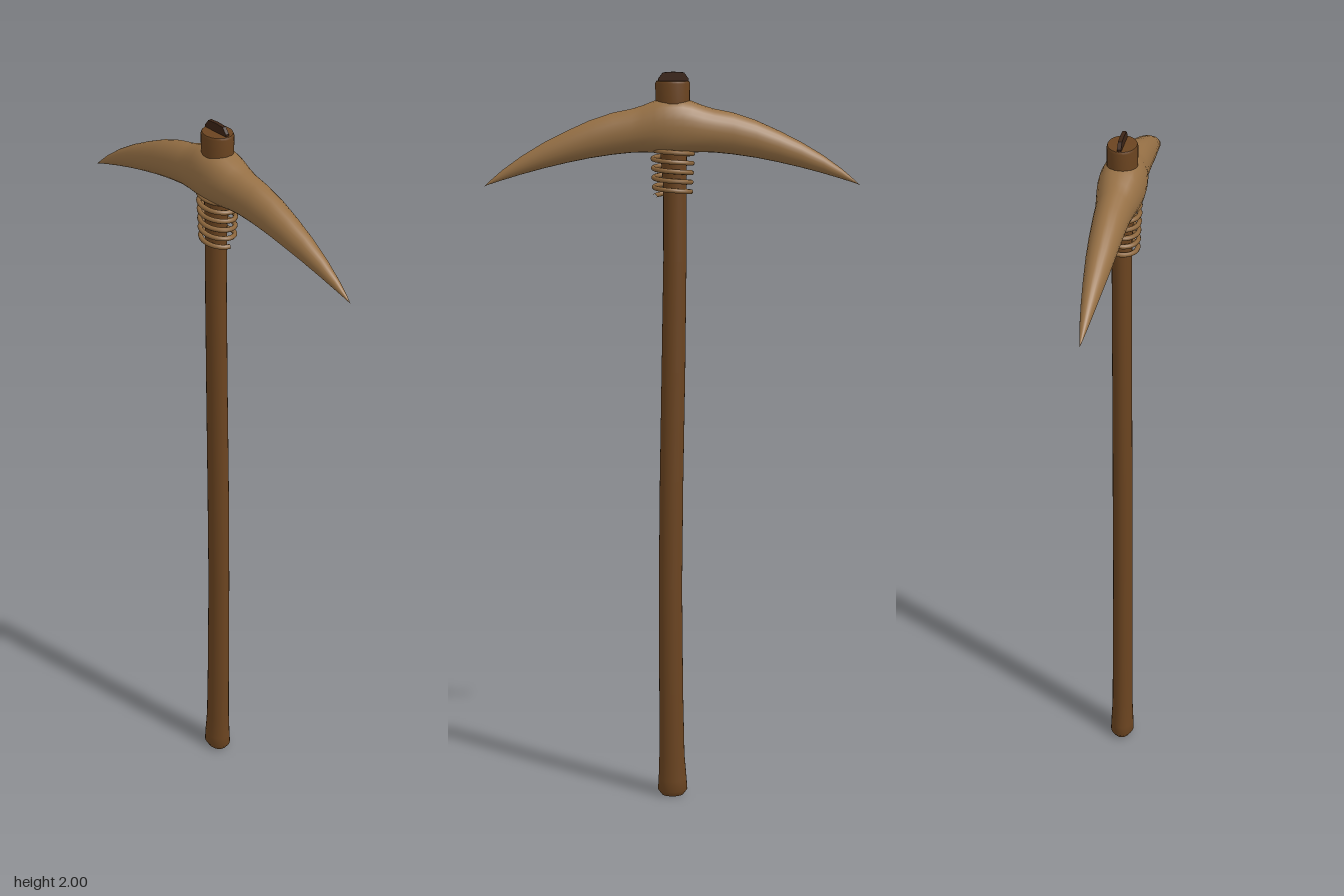
import * as THREE from 'three';

// Skin a list of closed rings (arrays of Vector3, counter-clockwise about the travel direction).
function loft(rings) {
  const n = rings[0].length, index = [];
  for (let i = 0; i < rings.length - 1; i++) {
    for (let j = 0; j < n; j++) {
      const a = i * n + j, b = i * n + (j + 1) % n;
      index.push(a, b, a + n, b, b + n, a + n);
    }
  }
  const g = new THREE.BufferGeometry().setFromPoints(rings.flat());
  g.setIndex(index);
  g.computeVertexNormals();
  return g;
}

const ring = (n, point) => Array.from({ length: n }, (_, j) => point(j / n * Math.PI * 2));

export function createModel() {
  const handleWood = new THREE.MeshStandardMaterial({ name: 'handleWood', color: 0x6b4420 });
  const headHorn = new THREE.MeshStandardMaterial({ name: 'headHorn', color: 0x967045 });
  const cord = new THREE.MeshStandardMaterial({ name: 'cord', color: 0x8c663c });
  const darkWood = new THREE.MeshStandardMaterial({ name: 'darkWood', color: 0x3c2416 });

  const model = new THREE.Group();
  const add = (name, geometry, material) => {
    const mesh = new THREE.Mesh(geometry, material);
    mesh.name = name;
    model.add(mesh);
    return mesh;
  };

  // Handle: slightly bowed oval shaft; repeated rows keep the rims crisp. [y, x, rx, rz]
  const shaft = [
    [0.005, 0, 0, 0], [0.005, 0, 0.03, 0.024], [0.005, 0, 0.03, 0.024],
    [0.02, 0, 0.041, 0.033], [0.05, 0, 0.039, 0.032], [0.12, 0.002, 0.035, 0.029],
    [0.3, 0.004, 0.033, 0.028], [0.6, 0.006, 0.032, 0.027], [0.9, 0.003, 0.032, 0.027],
    [1.2, -0.002, 0.032, 0.026], [1.5, -0.006, 0.031, 0.026], [1.7, -0.006, 0.031, 0.026],
    [1.8, -0.002, 0.036, 0.031], [1.9, 0, 0.045, 0.039], [1.97, 0, 0.046, 0.039],
    [1.976, 0, 0.043, 0.037], [1.976, 0, 0.043, 0.037], [1.976, 0, 0, 0],
  ];
  add('handle', loft(shaft.map(([y, x, rx, rz]) =>
    ring(24, a => new THREE.Vector3(x + rx * Math.cos(a), y, -rz * Math.sin(a))))), handleWood);

  // Wedge: thin tapered plate driven into the end of the handle
  const wedgeShape = new THREE.Shape([
    [-0.042, 1.95], [0.038, 1.95], [0.038, 1.982], [0.026, 1.998], [-0.002, 2], [-0.03, 1.998], [-0.042, 1.982],
  ].map(([x, y]) => new THREE.Vector2(x, y)));
  const wedge = new THREE.ExtrudeGeometry(wedgeShape, { depth: 0.01, bevelEnabled: false });
  add('wedge', wedge.translate(0, 0, -0.005), darkWood);

  // Head: half outline mirrored to both points. [x, top, bottom, half width]
  const half = [
    [0, 1.93, 1.787, 0.06], [0.025, 1.93, 1.787, 0.059], [0.05, 1.924, 1.788, 0.056],
    [0.08, 1.912, 1.789, 0.051], [0.11, 1.903, 1.788, 0.046], [0.16, 1.893, 1.783, 0.043],
    [0.22, 1.873, 1.774, 0.039], [0.28, 1.846, 1.762, 0.034], [0.34, 1.816, 1.748, 0.027],
    [0.4, 1.78, 1.732, 0.019], [0.45, 1.744, 1.717, 0.011], [0.485, 1.714, 1.706, 0.004],
    [0.5, 1.7, 1.7, 0],
  ];
  const outline = [...half.slice(1).reverse().map(([x, ...r]) => [-x, ...r]), ...half];
  add('pickHead', loft(outline.map(([x, top, bottom, w]) => ring(24, a => {
    // the section swells into a fuller barrel around the socket
    const k = 1 - 0.3 * Math.max(0, 1 - Math.abs(x) / 0.12);
    const s = Math.sin(a);
    return new THREE.Vector3(x, (top + bottom) / 2 + (top - bottom) / 2 * Math.cos(a),
      w * Math.sign(s) * Math.pow(Math.abs(s), k));
  }))), headHorn);

  // Lashing: cord wound round the shaft below the head
  const turns = 5.5, path = [];
  for (let i = 0; i <= turns * 16; i++) {
    const t = i / (turns * 16), a = t * turns * Math.PI * 2;
    path.push(new THREE.Vector3((0.048 + 0.006 * t) * Math.cos(a), 1.672 + 0.138 * t, (0.039 + 0.006 * t) * Math.sin(a)));
  }
  add('lashing', new THREE.TubeGeometry(new THREE.CatmullRomCurve3(path), 220, 0.0065, 8), cord);

  return model;
}
